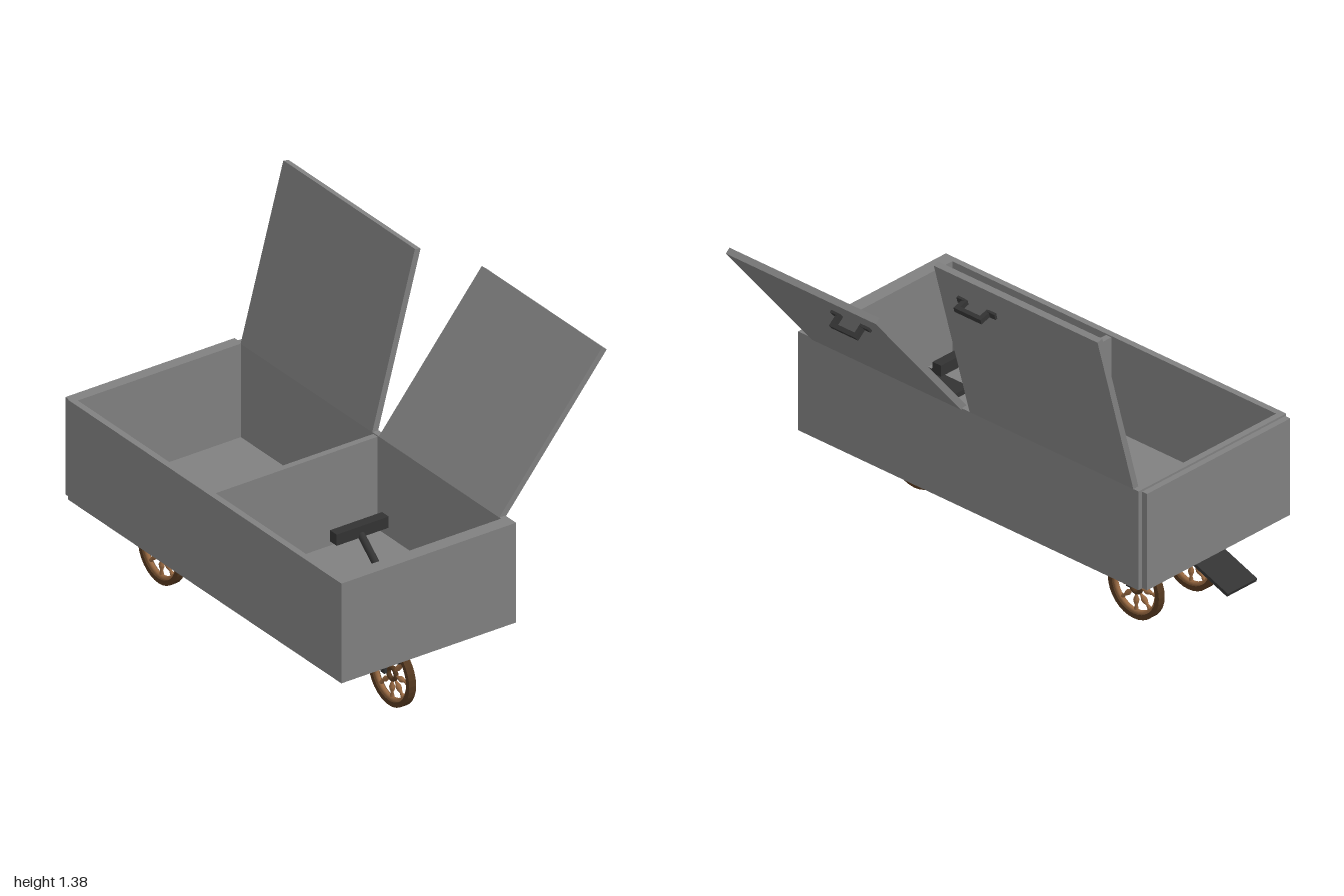
import * as THREE from 'three';

const mat = (color) => new THREE.MeshStandardMaterial({ color });
const panelMat = mat(0x808080);
const darkMat = mat(0x333333);
const tyreMat = mat(0x54381f);
const woodMat = mat(0x9a6a42);

function add(parent, name, geometry, material, x = 0, y = 0, z = 0) {
  const mesh = new THREE.Mesh(geometry, material);
  mesh.name = name;
  mesh.position.set(x, y, z);
  parent.add(mesh);
  return mesh;
}

// Box given by its limits on each axis
function slab(parent, name, material, [x0, x1], [y0, y1], [z0, z1]) {
  return add(parent, name, new THREE.BoxGeometry(x1 - x0, y1 - y0, z1 - z0), material,
    (x0 + x1) / 2, (y0 + y1) / 2, (z0 + z1) / 2);
}

function group(parent, name, x = 0, y = 0, z = 0) {
  const g = new THREE.Group();
  g.name = name;
  g.position.set(x, y, z);
  parent.add(g);
  return g;
}

// Open chest with two compartments and a separate end panel
function buildChest(cart) {
  const chest = group(cart, 'chest');
  const h = [0.3, 0.7];
  slab(chest, 'floor', panelMat, [-0.81, 0.832], [0.3, 0.325], [-0.38, 0.375]);
  slab(chest, 'frontSideWall', panelMat, [-0.81, 0.832], h, [0.35, 0.375]);
  slab(chest, 'backSideWall', panelMat, [-0.81, 0.832], h, [-0.38, -0.355]);
  slab(chest, 'noseWall', panelMat, [0.777, 0.832], h, [-0.355, 0.35]);
  slab(chest, 'rearWall', panelMat, [-0.81, -0.785], h, [-0.355, 0.35]);
  slab(chest, 'partition', panelMat, [0.01, 0.035], [0.325, 0.695], [-0.355, 0.35]);
  slab(chest, 'tailgate', panelMat, [-0.838, -0.814], [0.305, 0.695], [-0.366, 0.366]);
}

// Lid hinged on the back side, leaning outwards, with a pull handle outside
function buildLid(cart, name, [x0, x1], tilt, handleX) {
  const lid = group(cart, name, 0, 0.7, -0.354);
  lid.rotation.x = -tilt;
  slab(lid, 'lidPanel', panelMat, [x0, x1], [0, 0.7], [-0.025, 0]);
  const handle = group(lid, 'handle', handleX, 0.59, -0.025);
  slab(handle, 'handleGrip', darkMat, [-0.065, 0.065], [-0.01, 0.01], [-0.055, -0.038]);
  for (const s of [-1, 1]) {
    add(handle, 'handlePost', new THREE.BoxGeometry(0.018, 0.02, 0.05), darkMat, s * 0.056, 0, -0.025);
    add(handle, 'handleFoot', new THREE.BoxGeometry(0.035, 0.024, 0.01), darkMat, s * 0.074, 0, -0.005);
  }
}

// Spoked wheel held by a fork under the floor
const spokeProfile = [[0.004, 0.026], [0.005, 0.036], [0.011, 0.052], [0.01, 0.062],
  [0.005, 0.076], [0.008, 0.088], [0.006, 0.1]].map(([r, y]) => new THREE.Vector2(r, y));

// Closed ring with a rectangular section, turned to roll along x
function ring(inner, outer, width) {
  const w = width / 2;
  const pts = [[inner, -w], [outer, -w], [outer, w], [inner, w], [inner, -w]]
    .map(([r, y]) => new THREE.Vector2(r, y));
  // Doubled segments keep the section corners sharp
  const g = new THREE.LatheGeometry(pts, 32).toNonIndexed();
  g.computeVertexNormals();
  return g.rotateX(Math.PI / 2);
}

function buildWheel(cart, name, x, z) {
  const unit = group(cart, name, x, 0.123, z);
  add(unit, 'tyre', ring(0.104, 0.123, 0.03), tyreMat);
  add(unit, 'rim', new THREE.TorusGeometry(0.1, 0.009, 8, 32), woodMat);
  add(unit, 'hub', new THREE.TorusGeometry(0.023, 0.009, 8, 20), tyreMat);
  for (let i = 0; i < 8; i++) {
    add(unit, 'spoke', new THREE.LatheGeometry(spokeProfile, 8), woodMat).rotation.z = i * Math.PI / 4;
  }
  add(unit, 'forkStem', new THREE.CylinderGeometry(0.013, 0.013, 0.06, 12), darkMat, 0, 0.157, 0);
  add(unit, 'forkCrown', new THREE.BoxGeometry(0.035, 0.016, 0.085), darkMat, 0, 0.134, 0);
  for (const s of [-1, 1]) {
    add(unit, 'forkLeg', new THREE.BoxGeometry(0.022, 0.12, 0.012), darkMat, 0, 0.075, s * 0.036);
  }
}

// Steering column with a crossbar and a foot plate
function buildSteering(cart) {
  const steering = group(cart, 'steering');
  slab(steering, 'footPlate', darkMat, [0.552, 0.765], [0.325, 0.345], [-0.2, 0.2]);
  const lean = Math.atan2(0.31, 0.26);
  const column = add(steering, 'column', new THREE.CylinderGeometry(0.014, 0.014, 0.405, 12), darkMat,
    0.563, 0.472, -0.005);
  column.rotation.z = lean;
  add(steering, 'crossbar', new THREE.BoxGeometry(0.04, 0.045, 0.225), darkMat, 0.408, 0.605, -0.008);
}

// Plate under the tail with a sloping step
function buildStep(cart) {
  const step = group(cart, 'rearStep');
  slab(step, 'stepPlate', darkMat, [-0.81, -0.635], [0.286, 0.3], [-0.213, 0.187]);
  const ramp = add(step, 'ramp', new THREE.BoxGeometry(0.2, 0.014, 0.15), darkMat, -0.872, 0.255, -0.015);
  ramp.rotation.z = 0.36;
}

export function createModel() {
  const model = new THREE.Group();
  model.name = 'lidded cart';
  const cart = group(model, 'cart', -0.105, 0, 0.057);
  cart.rotation.y = -0.615;
  buildChest(cart);
  buildLid(cart, 'rearLid', [-0.785, 0.005], 0.267, -0.18);
  buildLid(cart, 'noseLid', [0.044, 0.767], 0.69, 0.225);
  buildWheel(cart, 'noseWheel', 0.616, 0);
  for (const s of [-1, 1]) buildWheel(cart, 'rearWheel', -0.573, s * 0.14);
  buildSteering(cart);
  buildStep(cart);
  return model;
}
